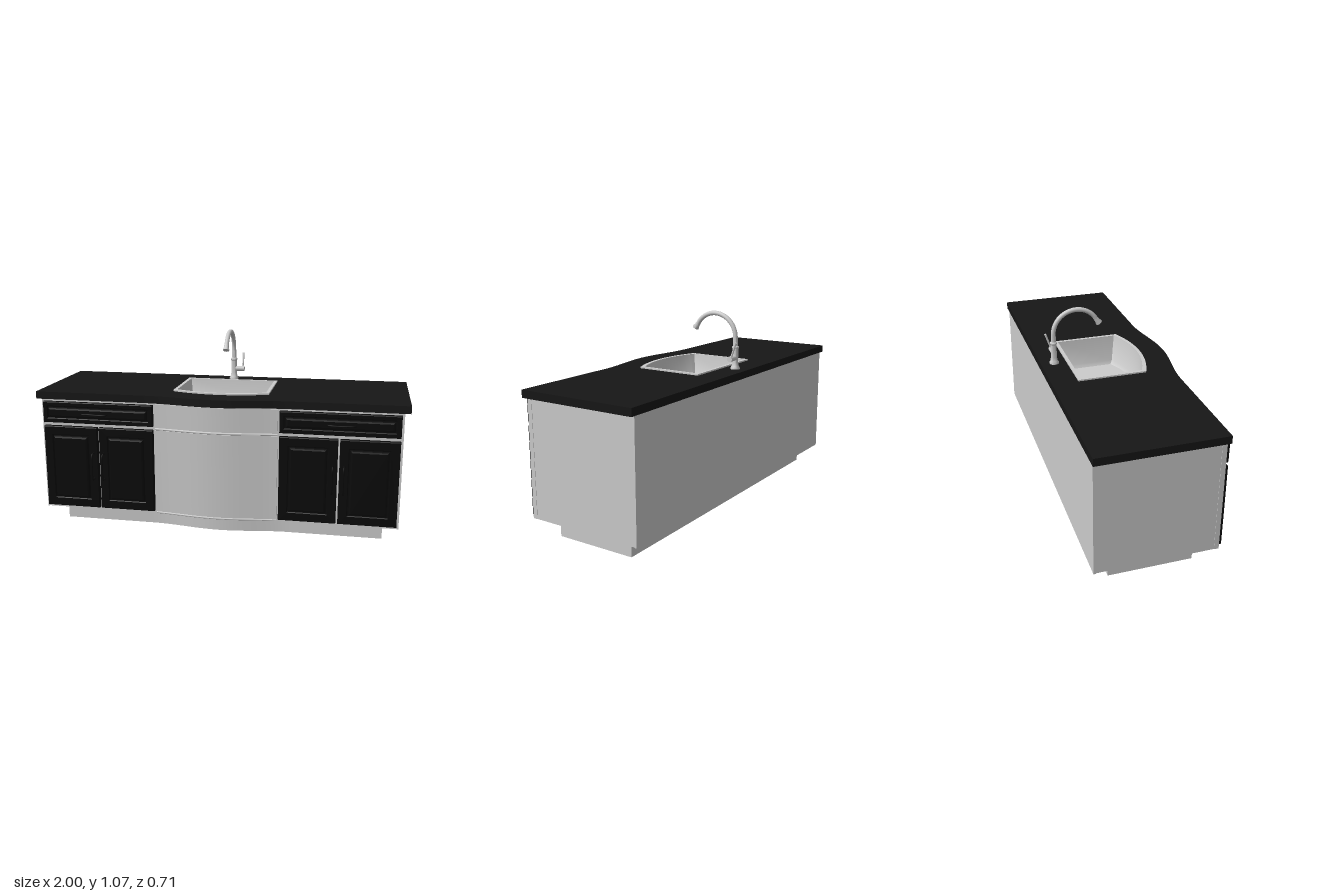
import * as THREE from 'three';
import { toCreasedNormals } from 'three/addons/utils/BufferGeometryUtils.js';

const grey = new THREE.MeshStandardMaterial({ color: 0xcccccc });
const greyDouble = new THREE.MeshStandardMaterial({ color: 0xcccccc, side: THREE.DoubleSide });
const stone = new THREE.MeshStandardMaterial({ color: 0x161616 });
const darkWood = new THREE.MeshStandardMaterial({ color: 0x0a0a0a });

function add(parent, name, geometry, material, x = 0, y = 0, z = 0) {
  const mesh = new THREE.Mesh(geometry, material);
  mesh.name = name;
  mesh.position.set(x, y, z);
  parent.add(mesh);
  return mesh;
}

// Smooth swell across the middle of the front, 0 to 1
const swell = (x, half = 0.39) => Math.abs(x) < half ? 0.5 + 0.5 * Math.cos(Math.PI * x / half) : 0;

// Plan outline as [x, z] points: straight back, front with a swelling centre
function swellOutline(halfW, back, front, depth) {
  const pts = [[-halfW, back], [-halfW, front]];
  for (let i = 0; i <= 40; i++) {
    const x = -0.39 + 0.78 * i / 40;
    pts.push([x, front + depth * swell(x)]);
  }
  pts.push([halfW, front], [halfW, back]);
  return pts;
}

// Plan outline of the sink, with an arched front, pulled in by an inset
function sinkOutline(inset) {
  const w = 0.263 - inset, pts = [[-w, -0.214 + inset]];
  for (let i = 0; i <= 20; i++) {
    const t = -1 + i / 10;
    pts.push([w * t, 0.158 - inset + 0.055 * (1 - t * t)]);
  }
  pts.push([w, -0.214 + inset]);
  return pts;
}

const toVectors = (pts) => pts.map(([x, z]) => new THREE.Vector2(x, -z));

// Upright slab from a plan outline, with an optional hole
function slab(outline, y0, y1, hole) {
  const shape = new THREE.Shape(toVectors(outline));
  if (hole) shape.holes.push(new THREE.Path(toVectors(hole)));
  const g = new THREE.ExtrudeGeometry(shape, { depth: y1 - y0, bevelEnabled: false });
  g.rotateX(-Math.PI / 2);
  g.translate(0, y0, 0);
  return toCreasedNormals(g, 0.5);
}

// Walls joining plan loops at different heights
function loft(loops) {
  const n = loops[0].pts.length, pos = [], idx = [];
  loops.forEach(({ pts, y }) => pts.forEach(([x, z]) => pos.push(x, y, z)));
  for (let l = 0; l < loops.length - 1; l++) {
    for (let i = 0; i < n; i++) {
      const a = l * n + i, b = l * n + (i + 1) % n;
      idx.push(a, a + n, b, b, a + n, b + n);
    }
  }
  const g = new THREE.BufferGeometry();
  g.setAttribute('position', new THREE.Float32BufferAttribute(pos, 3));
  g.setIndex(idx);
  return toCreasedNormals(g, 0.6);
}

function rect(w, h, Type = THREE.Shape) {
  return new Type([[-w, -h], [w, -h], [w, h], [-w, h]].map(([x, y]) => new THREE.Vector2(x / 2, y / 2)));
}

// Backing, bevelled surround and raised field
function panelFront(name, w, h, rail) {
  const group = new THREE.Group();
  group.name = name;
  add(group, 'backing', new THREE.BoxGeometry(w, h, 0.012), darkWood, 0, 0, 0.006);
  const surround = rect(w - 0.008, h - 0.008);
  surround.holes.push(rect(w - 2 * rail, h - 2 * rail, THREE.Path));
  const bevel = { bevelEnabled: true, bevelThickness: 0.004, bevelSize: 0.004, bevelSegments: 1 };
  add(group, 'surround', new THREE.ExtrudeGeometry(surround, { depth: 0.008, ...bevel }), darkWood, 0, 0, 0.012);
  const field = rect(w - 2 * rail - 0.04, h - 2 * rail - 0.04);
  add(group, 'raisedField', new THREE.ExtrudeGeometry(field,
    { depth: 0.01, bevelEnabled: true, bevelThickness: 0.01, bevelSize: 0.011, bevelSegments: 2 }), darkWood, 0, 0, 0.012);
  return group;
}

// Bow pull with two feet
function pull(length) {
  const h = length / 2;
  const path = new THREE.CatmullRomCurve3([[-h, 0], [-h, 0.022], [-h * 0.8, 0.03], [0, 0.032], [h * 0.8, 0.03], [h, 0.022], [h, 0]]
    .map(([y, z]) => new THREE.Vector3(0, y, z)));
  const group = new THREE.Group();
  group.name = 'handle';
  add(group, 'bow', new THREE.TubeGeometry(path, 32, 0.004, 8), darkWood);
  for (const s of [-1, 1]) {
    add(group, 'foot', new THREE.CylinderGeometry(0.006, 0.008, 0.006, 12), darkWood, 0, s * h, 0.002).rotation.x = Math.PI / 2;
  }
  return group;
}

function createFaucet() {
  const faucet = new THREE.Group();
  faucet.name = 'faucet';
  // Turned column with foot and collars
  const profile = [[0, 0], [0.026, 0], [0.026, 0.008], [0.02, 0.018], [0.016, 0.04], [0.016, 0.112], [0.019, 0.116],
    [0.019, 0.123], [0.014, 0.128], [0.0125, 0.175]].map(([r, y]) => new THREE.Vector2(r, y));
  add(faucet, 'column', toCreasedNormals(new THREE.LatheGeometry(profile, 24), 0.6), grey);
  // Gooseneck, arcing forward
  const pts = [new THREE.Vector3(0, 0.12, 0), new THREE.Vector3(0, 0.145, 0)];
  for (let i = 0; i <= 12; i++) {
    const a = Math.PI - (Math.PI - 0.5) * i / 12;
    pts.push(new THREE.Vector3(0, 0.168 + 0.128 * Math.sin(a), 0.128 + 0.128 * Math.cos(a)));
  }
  const path = new THREE.CatmullRomCurve3(pts);
  add(faucet, 'spout', new THREE.TubeGeometry(path, 64, 0.0125, 16), grey);
  // Flared nozzle, pointing along the end of the neck
  const tip = [[0.012, -0.008], [0.014, 0], [0.013, 0.006], [0.018, 0.022], [0.018, 0.027], [0, 0.027]]
    .map(([r, y]) => new THREE.Vector2(r, y));
  const nozzle = add(faucet, 'nozzle', toCreasedNormals(new THREE.LatheGeometry(tip, 20), 0.6), greyDouble);
  nozzle.position.copy(path.getPoint(1));
  nozzle.quaternion.setFromUnitVectors(new THREE.Vector3(0, 1, 0), path.getTangent(1));
  // Side valve and lever
  add(faucet, 'valve', new THREE.CylinderGeometry(0.015, 0.015, 0.052, 20), grey, 0.036, 0.063, 0).rotation.z = Math.PI / 2;
  const lever = add(faucet, 'lever', new THREE.CylinderGeometry(0.006, 0.0045, 0.1, 12), grey, 0.052, 0.106, -0.016);
  lever.rotation.x = -0.33;
  faucet.position.set(-0.005, 0.758, -0.28);
  return faucet;
}

export function createModel() {
  const model = new THREE.Group();
  model.name = 'sinkCabinet';
  const front = 0.295;

  // Toe kick, carcass, back panel and worktop
  add(model, 'toeKick', slab(swellOutline(0.89, -0.25, 0.195, 0.04), 0, 0.1), grey);
  add(model, 'carcass', slab(swellOutline(0.968, -0.335, front, 0.034), 0.1, 0.72, sinkOutline(0)), grey);
  add(model, 'backPanel', new THREE.BoxGeometry(1.944, 0.62, 0.012), grey, 0, 0.41, -0.34);
  add(model, 'worktop', slab(swellOutline(1, -0.353, 0.305, 0.045), 0.72, 0.76, sinkOutline(0.008)), stone);

  // Bowed centre panels, following the front curve
  const bowed = (offset) => {
    const pts = [[-0.33, front - 0.02], [0.33, front - 0.02]];
    for (let i = 0; i <= 32; i++) {
      const x = 0.33 - 0.66 * i / 32;
      pts.push([x, front + offset + 0.034 * swell(x)]);
    }
    return pts;
  };
  add(model, 'centrePanel', slab(bowed(0.008), 0.108, 0.572), grey);
  add(model, 'apronPanel', slab(bowed(0.008), 0.586, 0.716), grey);
  // Beads along the bowed edges and posts at each end
  for (const y of [0.107, 0.579]) {
    const curve = new THREE.CatmullRomCurve3(bowed(0.006).slice(2).map(([x, z]) => new THREE.Vector3(x, y, z)));
    add(model, 'bead', new THREE.TubeGeometry(curve, 48, 0.006, 8), grey);
  }

  // Doors, drawers and pulls on both sides
  for (const s of [-1, 1]) {
    for (const [x, pullSide] of [[0.806, -1], [0.492, 1]]) {
      const door = panelFront('door', 0.304, 0.458, 0.045);
      door.position.set(s * x, 0.344, front);
      model.add(door);
      const handle = pull(0.145);
      handle.position.set(s * (x + pullSide * 0.128), 0.357, front + 0.023);
      model.add(handle);
    }
    const drawer = panelFront('drawer', 0.618, 0.116, 0.022);
    drawer.position.set(s * 0.649, 0.651, front);
    model.add(drawer);
    const handle = pull(0.14);
    handle.rotation.z = Math.PI / 2;
    handle.position.set(s * 0.66, 0.651, front + 0.023);
    model.add(handle);
    add(model, 'cornerPost', new THREE.BoxGeometry(0.008, 0.62, 0.025), grey, s * 0.966, 0.41, front - 0.008);
  }

  // Sink: raised rim, tapered walls and floor
  const sink = new THREE.Group();
  sink.name = 'sink';
  model.add(sink);
  add(sink, 'rim', slab(sinkOutline(0), 0.755, 0.768, sinkOutline(0.018)), grey);
  add(sink, 'basinWalls', loft([{ pts: sinkOutline(0.018), y: 0.766 }, { pts: sinkOutline(0.034), y: 0.62 },
    { pts: sinkOutline(0.046), y: 0.6 }]), greyDouble);
  const floor = new THREE.ShapeGeometry(new THREE.Shape(toVectors(sinkOutline(0.046))));
  floor.rotateX(-Math.PI / 2);
  add(sink, 'basinFloor', floor, greyDouble, 0, 0.6, 0);

  model.add(createFaucet());
  return model;
}
